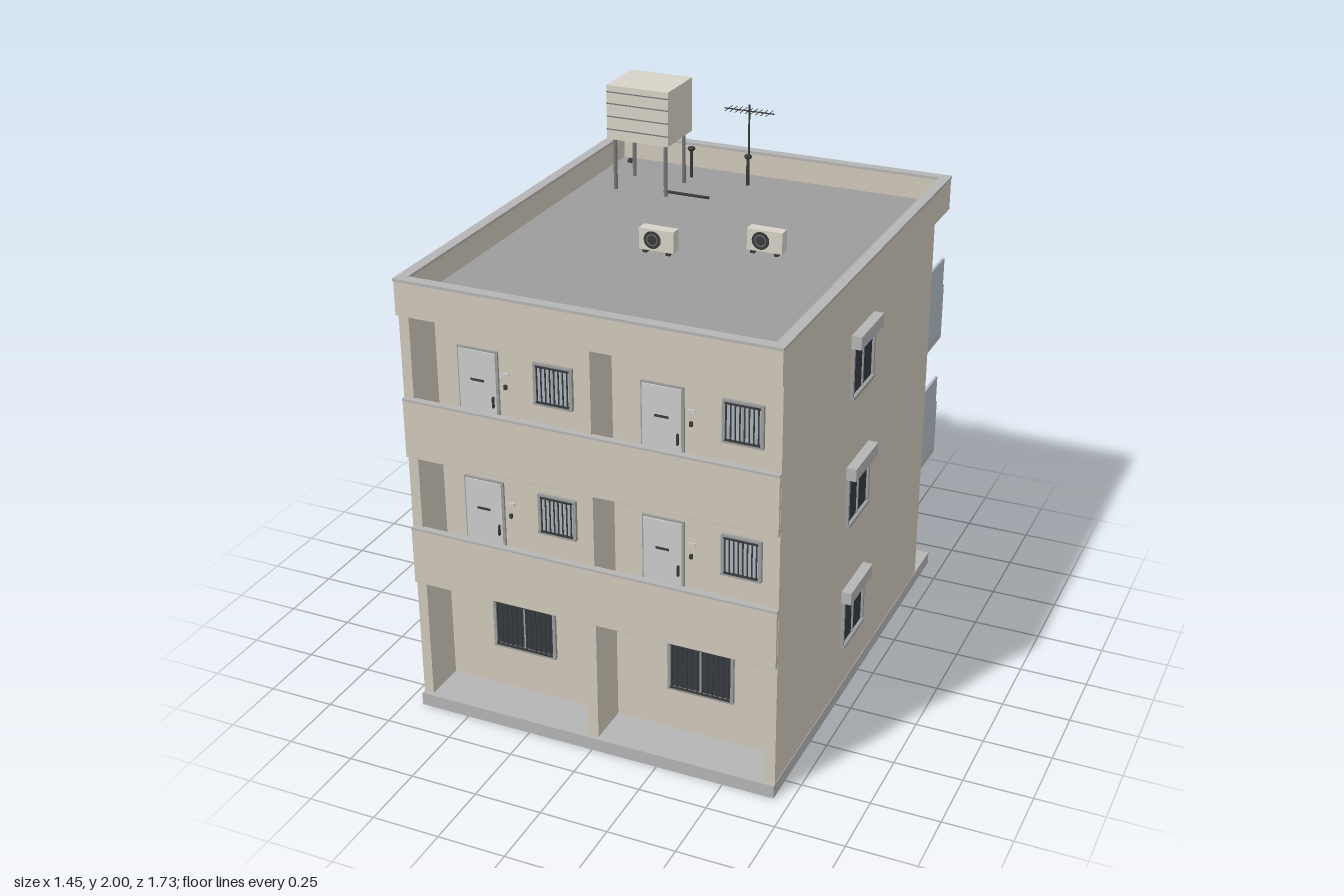
import * as THREE from 'three';

const mat = (color) => new THREE.MeshStandardMaterial({ color });
const M = {
  wall: mat(0xd0c9ba), concrete: mat(0xb4b4b4), roof: mat(0x9c9c9c), tank: mat(0xd6d2c6),
  door: mat(0xc8c8c4), frame: mat(0x9a9c9e), glass: mat(0x343a42), pale: mat(0xaab4bc),
  panel: mat(0xb2bec6), dark: mat(0x3a3a3a), metal: mat(0x77797b),
  red: mat(0xa83a34), blue: mat(0x3f5c94), white: mat(0xd4d4d0), grey: mat(0xa4a6a6),
};
const FLOORS = [0.05, 0.55, 1.05];

// Box given by its extents
function box(parent, name, m, x0, x1, y0, y1, z0, z1) {
  const mesh = new THREE.Mesh(new THREE.BoxGeometry(x1 - x0, y1 - y0, z1 - z0), m);
  mesh.position.set((x0 + x1) / 2, (y0 + y1) / 2, (z0 + z1) / 2);
  mesh.name = name;
  parent.add(mesh);
  return mesh;
}

// Round bar between two points
function rod(parent, name, m, a, b, r, sides = 8) {
  const p = new THREE.Vector3(...a), q = new THREE.Vector3(...b);
  const mesh = new THREE.Mesh(new THREE.CylinderGeometry(r, r, p.distanceTo(q), sides), m);
  mesh.position.copy(p).add(q).multiplyScalar(0.5);
  mesh.quaternion.setFromUnitVectors(new THREE.Vector3(0, 1, 0), q.sub(p).normalize());
  mesh.name = name;
  parent.add(mesh);
}

function group(parent, name) {
  const g = new THREE.Group();
  g.name = name;
  parent.add(g);
  return g;
}

// Two-pane window, centred on x, standing on y = 0, facing +z, wall at z = 0
function makeWindow(parent, name, w, h, bars = 0, paneMat = M.glass) {
  const g = group(parent, name), t = 0.011, d = 0.012;
  box(g, 'pane', paneMat, -w / 2 + t, w / 2 - t, t, h - t, -0.002, 0.003);
  for (const s of [-1, 1]) {
    const x = s * (w / 2 - t / 2);
    box(g, 'frameSide', M.frame, x - t / 2, x + t / 2, 0, h, -0.002, d);
  }
  box(g, 'frameTop', M.frame, -w / 2, w / 2, h - t, h, -0.002, d);
  box(g, 'sill', M.frame, -w / 2, w / 2, 0, t, -0.002, d + 0.004);
  box(g, 'mullion', M.frame, -0.004, 0.004, t, h - t, 0, 0.008);
  for (let i = 1; i <= bars; i++) {
    const x = -w / 2 + (w * i) / (bars + 1);
    box(g, 'bar', M.dark, x - 0.002, x + 0.002, t, h - t, 0.013, 0.017);
  }
  if (bars) for (const y of [t, h - t]) box(g, 'barRail', M.dark, -w / 2 + t, w / 2 - t, y - 0.003, y + 0.003, 0.01, 0.017);
  return g;
}

function buildShell(root) {
  const g = group(root, 'shell');
  box(g, 'baseSlab', M.concrete, -0.69, 0.69, 0, 0.05, -0.86, 0.86);
  box(g, 'mainBody', M.wall, -0.688, 0.688, 0.05, 1.55, -0.685, 0.685);
  // Fins dividing the front galleries
  for (const [a, b] of [[-0.688, -0.65], [-0.02, 0.02], [0.65, 0.688]])
    box(g, 'frontFin', M.wall, a, b, 0.05, 1.55, 0.685, 0.845);
  // Roof slab and its upstand
  box(g, 'roofEdge', M.wall, -0.69, 0.69, 1.55, 1.58, -0.86, 0.86);
  box(g, 'roofSurface', M.roof, -0.655, 0.655, 1.578, 1.585, -0.825, 0.825);
  for (const s of [-1, 1]) {
    box(g, 'roofUpstandSide', M.wall, s * 0.6725 - 0.0175, s * 0.6725 + 0.0175, 1.58, 1.672, -0.86, 0.86);
    box(g, 'roofUpstandEnd', M.wall, -0.655, 0.655, 1.58, 1.672, s * 0.8425 - 0.0175, s * 0.8425 + 0.0175);
    box(g, 'copingSide', M.concrete, s * 0.673 - 0.0195, s * 0.673 + 0.0195, 1.672, 1.682, -0.862, 0.862);
    box(g, 'copingEnd', M.concrete, -0.655, 0.655, 1.672, 1.682, s * 0.843 - 0.0195, s * 0.843 + 0.0195);
  }
}

function buildFront(root) {
  const g = group(root, 'frontFacade');
  for (const cx of [-0.345, 0.345]) // ground floor windows
    makeWindow(g, 'groundWindow', 0.25, 0.2, 12).position.set(cx, 0.22, 0.685);
  for (const y of FLOORS.slice(1)) {
    box(g, 'galleryFloor', M.concrete, -0.687, 0.687, y - 0.03, y, 0.685, 0.858);
    box(g, 'galleryParapet', M.wall, -0.687, 0.687, y - 0.028, y + 0.185, 0.838, 0.859);
    box(g, 'parapetCap', M.concrete, -0.688, 0.688, y + 0.185, y + 0.193, 0.836, 0.861);
    for (const dx of [-0.69, 0]) {
      const flat = group(g, 'flatEntrance');
      flat.position.set(dx, y, 0.685);
      box(flat, 'doorFrame', M.frame, 0.127, 0.283, 0, 0.347, -0.002, 0.008);
      box(flat, 'door', M.door, 0.134, 0.276, 0, 0.34, 0, 0.013);
      box(flat, 'letterSlot', M.dark, 0.18, 0.23, 0.228, 0.236, 0.01, 0.016);
      box(flat, 'doorHandle', M.dark, 0.262, 0.268, 0.14, 0.18, 0.01, 0.022);
      box(flat, 'doorbell', M.dark, 0.303, 0.313, 0.212, 0.228, 0, 0.01);
      box(flat, 'namePlate', M.door, 0.297, 0.322, 0.262, 0.272, 0, 0.006);
      makeWindow(flat, 'barredWindow', 0.147, 0.155, 8, M.pale).position.set(0.4925, 0.182, 0);
    }
  }
}

function buildSides(root) {
  for (const s of [-1, 1]) for (const y of FLOORS) {
    const g = group(root, s > 0 ? 'leftSideWindow' : 'rightSideWindow');
    g.position.set(s * 0.688, y + 0.17, s * 0.105);
    g.rotation.y = s * Math.PI / 2;
    makeWindow(g, 'window', 0.22, 0.2);
    box(g, 'awning', M.concrete, -0.115, 0.115, 0.195, 0.243, -0.002, 0.037);
  }
}

function buildBack(root) {
  const g = group(root, 'backFacade');
  for (const y of FLOORS) for (const s of [-1, 1]) {
    const w = makeWindow(g, 'balconyDoor', 0.33, 0.335);
    w.position.set(s * 0.345, y, -0.685);
    w.rotation.y = Math.PI;
  }
  FLOORS.slice(1).forEach((y, f) => {
    const b = group(g, 'balcony');
    box(b, 'balconyFloor', M.concrete, -0.687, 0.687, y - 0.03, y, -0.858, -0.685);
    box(b, 'balconyParapet', M.concrete, -0.687, 0.687, y - 0.028, y + 0.185, -0.858, -0.842);
    box(b, 'parapetCap', M.concrete, -0.688, 0.688, y + 0.185, y + 0.191, -0.86, -0.84);
    for (const x of [0, 0.682]) // screens at the end and between the flats
      box(b, 'screen', M.panel, x - 0.005, x + 0.005, y, y + 0.306, -0.846, -0.685);
    // Laundry poles on wall brackets
    for (const s of [-1, 1]) {
      rod(b, 'laundryPole', M.metal, [s * 0.04, y + 0.23, -0.78], [s * 0.65, y + 0.23, -0.78], 0.004);
      for (const x of [0.07, 0.61])
        rod(b, 'poleBracket', M.metal, [s * x, y + 0.225, -0.685], [s * x, y + 0.225, -0.82], 0.004, 6);
    }
    const accents = f === 1 ? { 4: M.red, 6: M.blue } : { 2: M.blue, 6: M.blue, 11: M.red };
    for (let i = 0; i < 12; i++) {
      const x = 0.575 - i * 0.096, len = 0.09 + 0.02 * ((i * 5 + f) % 3), w = 0.025 + 0.005 * (i % 3);
      if (Math.abs(x) < 0.035) continue;
      box(b, 'laundry', accents[i] || (i % 2 ? M.white : M.grey), x - w, x + w, y + 0.235 - len, y + 0.235, -0.786, -0.774);
    }
  });
}

function buildRoofEquipment(root) {
  // Water tank on a stand
  const t = group(root, 'waterTank');
  box(t, 'tankBody', M.tank, -0.54, -0.287, 1.79, 2, -0.663, -0.44);
  for (const y of [1.83, 1.88, 1.93, 1.975]) box(t, 'tankRib', M.metal, -0.54, -0.287, y - 0.002, y + 0.002, -0.441, -0.437);
  for (const x of [-0.52, -0.31]) for (const z of [-0.635, -0.467])
    rod(t, 'tankLeg', M.metal, [x, 1.585, z], [x, 1.79, z], 0.008);
  rod(t, 'downPipe', M.dark, [-0.32, 1.6, -0.485], [-0.32, 1.79, -0.485], 0.006);
  rod(t, 'outletPipe', M.dark, [-0.325, 1.597, -0.485], [-0.14, 1.597, -0.485], 0.006);

  // Aerial with cross elements
  const a = group(root, 'aerial');
  rod(a, 'mast', M.dark, [-0.09, 1.585, -0.757], [-0.09, 1.89, -0.757], 0.004);
  rod(a, 'boom', M.dark, [-0.192, 1.865, -0.757], [0.012, 1.865, -0.757], 0.0025, 6);
  for (let i = 0; i < 9; i++) {
    const x = -0.176 + i * 0.021;
    rod(a, 'element', M.dark, [x, 1.865, -0.795], [x, 1.865, -0.72], 0.0015, 5);
  }

  // Vent pipes and rain outlets
  for (const [x, z, top] of [[-0.31, -0.708, 1.7], [-0.073, -0.708, 1.7], [-0.603, -0.775, 1.59], [0.6, -0.775, 1.59]]) {
    const v = group(root, top > 1.65 ? 'ventPipe' : 'rainOutlet');
    rod(v, 'pipe', M.dark, [x, 1.58, z], [x, top, z], 0.007);
    const cap = new THREE.Mesh(new THREE.SphereGeometry(0.015, 14, 8), M.dark);
    cap.scale.y = 0.7;
    cap.position.set(x, top, z);
    cap.name = 'cap';
    v.add(cap);
  }

  // Air conditioner units with fan grilles
  for (const [x, z] of [[0.258, -0.08], [-0.093, 0.067]]) {
    const u = group(root, 'airConditioner');
    u.position.set(x, 1.585, z);
    box(u, 'casing', M.tank, -0.067, 0.067, 0.01, 0.09, -0.022, 0.022);
    for (const s of [-1, 1]) box(u, 'foot', M.dark, s * 0.045 - 0.008, s * 0.045 + 0.008, 0, 0.01, -0.024, 0.024);
    rod(u, 'fan', M.dark, [-0.015, 0.05, 0.02], [-0.015, 0.05, 0.0235], 0.033, 20);
    const ring = new THREE.Mesh(new THREE.TorusGeometry(0.02, 0.002, 6, 20), M.metal);
    ring.position.set(-0.015, 0.05, 0.024);
    ring.name = 'fanRing';
    u.add(ring);
  }
}

export function createModel() {
  const root = new THREE.Group();
  root.name = 'apartmentBuilding';
  buildShell(root);
  buildFront(root);
  buildSides(root);
  buildBack(root);
  buildRoofEquipment(root);
  return root;
}
